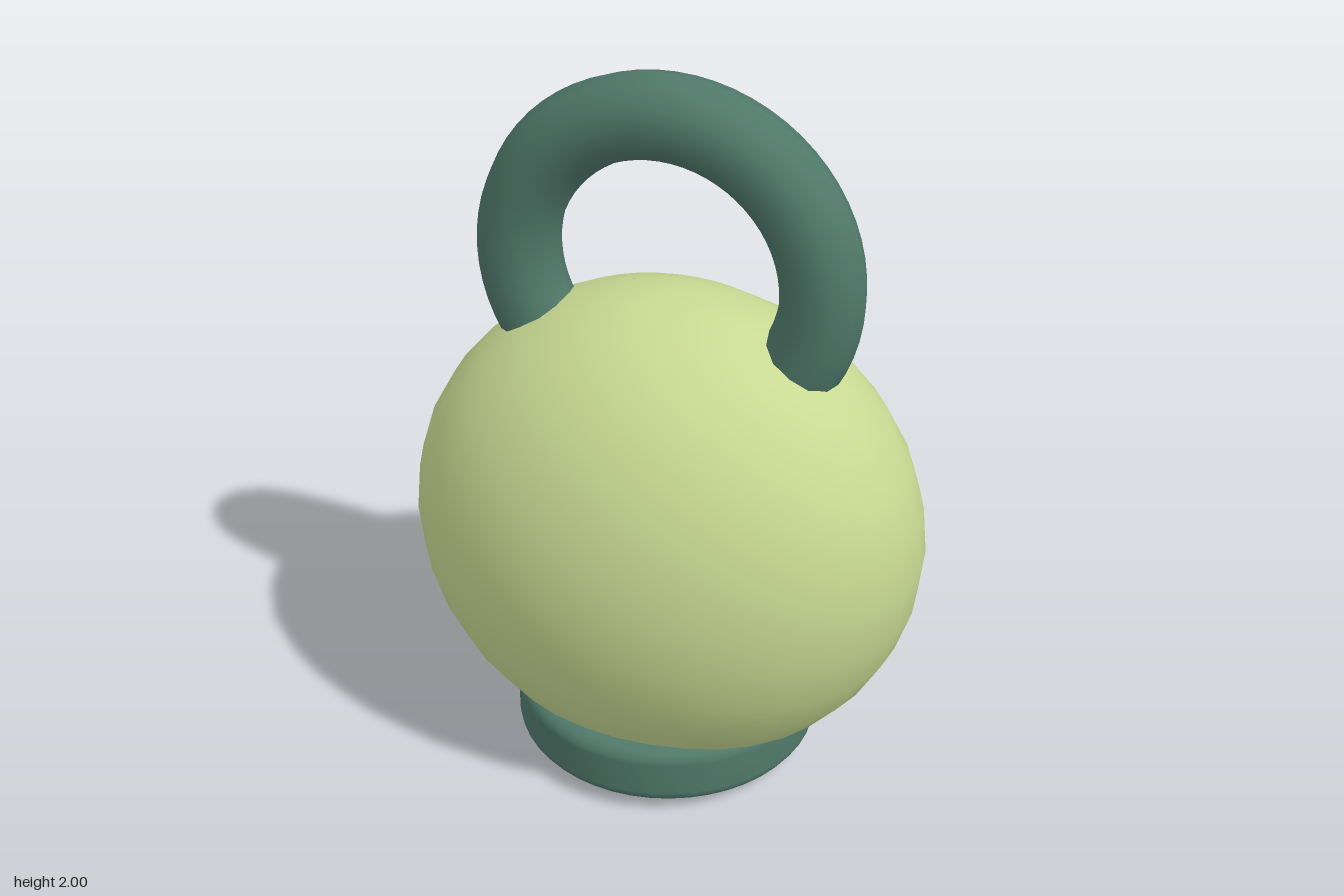
import * as THREE from 'three';

const paint = (color) => new THREE.MeshStandardMaterial({ color });

function addPart(group, name, geometry, material) {
  const mesh = new THREE.Mesh(geometry, material);
  mesh.name = name;
  group.add(mesh);
  return mesh;
}

// Closed disc profile with rounded upper and lower rims
function roundedDisc(radius, bottom, top, bevel, steps = 4) {
  const points = [new THREE.Vector2(0, bottom)];
  const corner = (cy, start) => {
    for (let i = 0; i <= steps; i++) {
      const a = start + (i / steps) * Math.PI / 2;
      points.push(new THREE.Vector2(radius - bevel + bevel * Math.cos(a), cy + bevel * Math.sin(a)));
    }
  };
  corner(bottom + bevel, -Math.PI / 2);
  corner(top - bevel, 0);
  points.push(new THREE.Vector2(0, top));
  return new THREE.LatheGeometry(points, 48);
}

export function createModel() {
  const model = new THREE.Group();
  model.name = 'kettlebell';
  const lime = paint(0xc8d992);
  const teal = paint(0x50796a);

  // Flattened round weight
  const body = addPart(model, 'body', new THREE.SphereGeometry(1, 32, 16), lime);
  body.scale.set(0.72, 0.7, 0.535);
  body.position.y = 0.7;

  // Ring handle whose ends sink into the body
  const dip = 0.8;
  const ring = new THREE.TorusGeometry(0.418, 0.112, 12, 48, Math.PI + 2 * dip);
  const handle = addPart(model, 'handle', ring, teal);
  handle.rotation.z = -dip;
  handle.position.y = 1.47;

  // Round foot; the body pokes slightly through its underside
  addPart(model, 'base', roundedDisc(0.43, 0.035, 0.21, 0.04), teal);

  return model;
}
